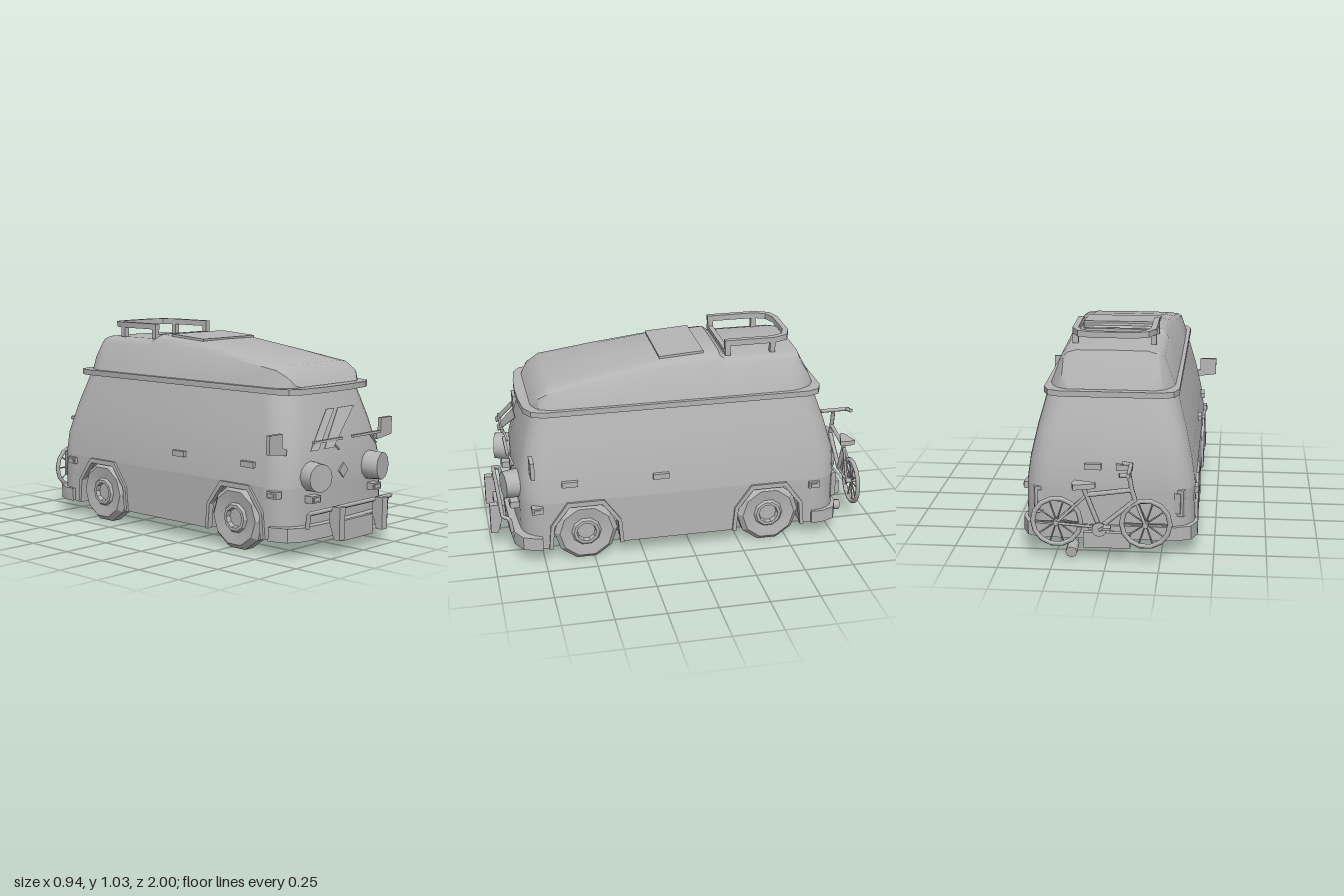
import * as THREE from 'three';
import { toCreasedNormals } from 'three/addons/utils/BufferGeometryUtils.js';

export function createModel() {
  const van = new THREE.Group();
  van.name = 'camperVan';
  const grey = new THREE.MeshStandardMaterial({ color: 0xb4b4b4, side: THREE.DoubleSide });
  grey.name = 'plainGrey';
  const V = (x, y, z) => new THREE.Vector3(x, y, z);
  const V2 = (p) => new THREE.Vector2(p[0], p[1]);

  const add = (name, geo, x = 0, y = 0, z = 0, parent = van) => {
    const m = new THREE.Mesh(geo, grey);
    m.name = name;
    m.position.set(x, y, z);
    parent.add(m);
    return m;
  };
  const box = (name, w, h, d, x, y, z, parent) => add(name, new THREE.BoxGeometry(w, h, d), x, y, z, parent);
  const rod = (name, a, b, r, parent, sides = 6) => {
    const d = b.clone().sub(a);
    const m = add(name, new THREE.CylinderGeometry(r, r, d.length(), sides), 0, 0, 0, parent);
    m.position.copy(a).add(b).multiplyScalar(0.5);
    m.quaternion.setFromUnitVectors(V(0, 1, 0), d.normalize());
    return m;
  };
  const extrude = (pts, depth) =>
    new THREE.ExtrudeGeometry(new THREE.Shape(pts.map(V2)), { depth, bevelEnabled: false });
  // Horizontal slab from an [x, z] outline
  const slab = (name, pts, y, h) =>
    add(name, toCreasedNormals(extrude(pts.map(([x, z]) => [x, -z]), h).rotateX(-Math.PI / 2), 0.6), 0, y, 0);
  // Slab across x from a [z, y] outline
  const across = (pts, width) => extrude(pts, width).rotateY(-Math.PI / 2).translate(width / 2, 0, 0);

  // Skin over a list of equal-length rings
  const loft = (rings, closed, crease) => {
    const n = rings[0].length, pos = rings.flat(2), idx = [];
    for (let i = 0; i < rings.length - 1; i++)
      for (let j = 0; j < (closed ? n : n - 1); j++) {
        const k = (j + 1) % n, a = i * n + j, b = i * n + k;
        idx.push(a, b, a + n, b, b + n, a + n);
      }
    const g = new THREE.BufferGeometry();
    g.setAttribute('position', new THREE.Float32BufferAttribute(pos, 3));
    g.setIndex(idx);
    g.computeVertexNormals();
    return toCreasedNormals(g, crease);
  };
  // Rounded plan outline with a gently bowed front
  const outline = (w, zf, zb, r = 0.12, steps = 5, bow = 0.03) => {
    const f = zf - bow, pts = [[0, f], [(w - r) / 2, f]];
    [[1, 1], [1, -1], [-1, -1], [-1, 1]].forEach(([sx, sz], q) => {
      for (let i = 0; i <= steps; i++) {
        const a = (q + i / steps) * Math.PI / 2;
        pts.push([sx * (w - r) + r * Math.sin(a), (sz > 0 ? f - r : zb + r) + r * Math.cos(a)]);
      }
    });
    pts.push([-(w - r) / 2, f]);
    return pts.map(([x, z]) => [x, z > 0 ? z + bow * (1 - (x / w) ** 2) : z]);
  };

  // Upper body
  add('upperBody', loft([[0.33, 0.405, 0.87, -0.77], [0.45, 0.388, 0.865, -0.765],
    [0.6, 0.355, 0.83, -0.725], [0.7, 0.328, 0.8, -0.692], [0.78, 0.308, 0.775, -0.665]]
    .map(([y, w, zf, zb]) => outline(w, zf, zb).map(([x, z]) => [x, y, z])), true, 0.9));

  // Lower body: nose, tail, and a middle with wheel arch notches
  const end = (pts, z0, s) => {
    const p = pts.filter(([, z]) => (z - z0) * s > -1e-4);
    return p.sort((a, b) => Math.atan2(a[0], (a[1] - z0) * s + 0.001) - Math.atan2(b[0], (b[1] - z0) * s + 0.001));
  };
  const plan = outline(0.405, 0.87, -0.77);
  slab('lowerNose', end(plan, 0.72, 1), 0.083, 0.247);
  slab('lowerTail', end(plan, -0.65, -1), 0.083, 0.247);
  const axles = [-0.4, 0.54];
  const arch = [[-0.175, 0.083], [-0.165, 0.21], [-0.085, 0.312], [0.085, 0.312], [0.165, 0.21], [0.175, 0.083]];
  const sideLine = [[-0.65, 0.083]];
  axles.forEach((a) => arch.forEach(([z, y]) => sideLine.push([a + z, y])));
  sideLine.push([0.72, 0.083], [0.72, 0.33], [-0.65, 0.33]);
  add('lowerSides', across(sideLine, 0.81));
  box('floor', 0.58, 0.24, 1.36, 0, 0.204, 0.035);

  // Bumpers and roof gutter
  const bumperPlan = outline(0.42, 0.91, -0.785, 0.1, 2);
  slab('frontBumper', [[-0.42, 0.76], ...end(bumperPlan, 0.77, 1), [0.42, 0.76]], 0.083, 0.067);
  slab('rearBumper', [[-0.42, -0.63], ...end(bumperPlan, -0.68, -1), [0.42, -0.63]], 0.083, 0.067);
  slab('gutter', outline(0.323, 0.83, -0.7, 0.08, 2), 0.757, 0.028);

  // Raised roof: stations of z, half width, height
  add('raisedRoof', loft([[0.775, 0.2, 0.787], [0.765, 0.235, 0.8], [0.74, 0.275, 0.845], [0.68, 0.3, 0.885],
    [0.4, 0.303, 0.932], [0.14, 0.303, 0.97], [-0.18, 0.303, 0.99], [-0.21, 0.303, 0.965], [-0.54, 0.3, 0.965],
    [-0.59, 0.285, 0.96], [-0.64, 0.255, 0.86], [-0.67, 0.2, 0.787]].map(([z, w, h]) => {
    const t = w - 0.33 * (h - 0.785), d = h - 0.785;
    const half = [[w, 0.785], [t + 0.005, h - 0.2 * d], [t - 0.015, h - 0.08 * d], [t * 0.75, h - 0.01 * d]];
    return [...half.map(([x, y]) => [-x, y, z]), [0, h, z], ...half.reverse().map(([x, y]) => [x, y, z])];
  }), false, 0.6));
  box('roofHatch', 0.38, 0.012, 0.225, 0, 0.981, 0.01).rotation.x = 0.065;

  // Roof rack: U rail, posts, low crossbar
  slab('rackRail', [[-0.203, -0.21], [-0.203, -0.47], [-0.17, -0.54], [-0.1, -0.565], [0.1, -0.565], [0.17, -0.54],
    [0.203, -0.47], [0.203, -0.21], [0.175, -0.21], [0.175, -0.46], [0.15, -0.515], [0.09, -0.538],
    [-0.09, -0.538], [-0.15, -0.515], [-0.175, -0.46], [-0.175, -0.21]], 1.012, 0.029);
  box('rackCrossbar', 0.4, 0.016, 0.025, 0, 0.977, -0.225);
  for (const s of [-1, 1]) for (const z of [-0.225, -0.457])
    box('rackPost', 0.028, 0.055, 0.026, s * 0.189, 0.99, z);

  // Wheels with rims and arch lips
  const tyre = new THREE.LatheGeometry([[0, -0.05], [0.13, -0.05], [0.16, -0.03], [0.16, 0.025], [0.135, 0.05],
    [0.075, 0.04], [0.065, 0.052], [0.05, 0.052], [0.045, 0.03], [0, 0.03]].map(V2), 10);
  const lip = [...arch.map(([z, y]) => [z * 1.08, y > 0.3 ? 0.33 : y]), ...arch.slice().reverse().map(([z, y]) => [z * 0.97, y - (y > 0.1 ? 0.006 : 0)])];
  for (const s of [-1, 1]) for (const z of axles) {
    const w = add('wheel', toCreasedNormals(tyre, 0.3), s * 0.363, 0.16, z);
    w.rotation.z = -s * Math.PI / 2;
    add('archLip', across(lip, 0.03), s * 0.402, 0, z);
  }

  // Paired fittings
  for (const s of [-1, 1]) {
    const lamp = add('headlight', toCreasedNormals(new THREE.CylinderGeometry(0.068, 0.073, 0.09, 12)
      .rotateX(Math.PI / 2), 0.6), s * 0.23, 0.377, 0.885);
    lamp.rotation.y = s * 0.2;
    box('turnSignal', 0.064, 0.034, 0.05, s * 0.235, 0.273, 0.875);
    box('turnSignalLens', 0.046, 0.02, 0.008, s * 0.235, 0.273, 0.901);
    const mirror = add('mirror', extrude([[0.38, 0.59], [0.47, 0.59], [0.47, 0.5], [0.35, 0.485], [0.345, 0.512],
      [0.38, 0.525]].map(([x, y]) => [s * x, y]), 0.02), 0, 0, 0.775);
    mirror.rotation.x = 0.03;
    for (const z of [0.615, 0.157]) box('doorHandle', 0.025, 0.028, 0.08, s * 0.397, 0.427, z);
    for (const z of [0.78, -0.638]) {
      box('sideMarker', 0.04, 0.034, 0.056, s * 0.4, 0.302, z);
      box('sideMarkerLens', 0.008, 0.018, 0.036, s * 0.421, 0.302, z);
    }
    const tail = box('tailLight', 0.07, 0.13, 0.03, s * 0.325, 0.265, -0.748);
    tail.rotation.y = s * 0.35;
    box('tailLightLens', 0.045, 0.1, 0.008, 0, 0, -0.018, tail);
    box('rearHinge', 0.08, 0.028, 0.03, s * 0.075, 0.44, -0.77);
    add('guardUpright', across([[1, 0.24], [1, 0.083], [0.965, 0.083], [0.94, 0.16], [0.94, 0.21], [0.96, 0.24]], 0.041), s * 0.166);
    // Wiper blade and arm
    const bx = s < 0 ? -0.158 : 0.138;
    box('wiperBlade', 0.215, 0.012, 0.015, bx, 0.544, 0.9);
    rod('wiperArm', V(bx + 0.03, 0.54, 0.9), V(bx + 0.115, 0.487, 0.875), 0.006);
  }

  // Front guard tube, plate, badge and tow hook
  const guard = new THREE.CurvePath();
  const gp = [V(-0.302, 0.145, 0.9), V(-0.302, 0.215, 0.91), V(-0.285, 0.226, 0.945), V(0.285, 0.226, 0.945),
    V(0.302, 0.215, 0.91), V(0.302, 0.145, 0.9)];
  for (let i = 0; i < 5; i++) guard.add(new THREE.LineCurve3(gp[i], gp[i + 1]));
  add('guardTube', new THREE.TubeGeometry(guard, 50, 0.011, 6));
  box('frontPlate', 0.24, 0.098, 0.02, 0, 0.114, 0.955);
  add('diamondBadge', extrude([[0, 0.036], [-0.034, 0], [0, -0.036], [0.034, 0]], 0.009), 0, 0.38, 0.866);
  add('towHook', new THREE.TorusGeometry(0.02, 0.007, 6, 10), 0, 0.082, 0.89);

  // Windscreen glints, leaning with the glass
  for (const [a, b, c, d] of [[-0.303, -0.243, -0.04, -0.1], [-0.2, -0.132, 0.112, -0.012]]) {
    const g = extrude([[a, 0.51], [b, 0.51], [c, 0.682], [d, 0.682]], 0.004);
    const p = g.attributes.position;
    for (let i = 0; i < p.count; i++) p.setZ(i, p.getZ(i) + 0.84 + (0.682 - p.getY(i)) * 0.42);
    g.computeVertexNormals();
    add('windscreenGlint', g);
  }

  // Exhaust and rear plate
  rod('exhaustPipe', V(0.17, 0.075, -0.5), V(0.17, 0.045, -0.79), 0.02, van, 8);
  rod('exhaustTip', V(0.17, 0.05, -0.77), V(0.17, 0.04, -0.86), 0.028, van, 8);
  box('carrierPlate', 0.22, 0.075, 0.025, 0, 0.112, -0.868);
  box('carrierArm', 0.05, 0.03, 0.12, 0, 0.11, -0.81);

  // Bicycle on the back
  const bike = new THREE.Group();
  bike.name = 'bicycle';
  bike.position.z = -0.903;
  van.add(bike);
  const hubs = { front: V(-0.185, 0.21, 0), rear: V(0.232, 0.21, 0) };
  for (const c of Object.values(hubs)) {
    add('bikeTyre', new THREE.TorusGeometry(0.113, 0.012, 6, 14), c.x, c.y, 0, bike);
    rod('bikeHub', V(c.x, c.y, -0.03), V(c.x, c.y, 0.03), 0.014, bike);
    for (let i = 0; i < 5; i++) {
      const d = V(Math.cos(i * Math.PI / 5), Math.sin(i * Math.PI / 5), 0).multiplyScalar(0.11);
      rod('spoke', c.clone().sub(d), c.clone().add(d), 0.004, bike, 4);
    }
  }
  const crank = V(0.03, 0.185, 0), seat = V(0.105, 0.38, 0), head = V(-0.12, 0.375, 0), neck = V(-0.135, 0.325, 0);
  for (const [a, b] of [[crank, seat], [crank, neck], [V(0.09, 0.345, 0), head], [head, V(-0.105, 0.46, 0)], [neck, head]])
    rod('bikeFrame', a, b, 0.012, bike);
  for (const z of [-0.024, 0.024]) {
    const o = V(0, 0, z);
    rod('forkBlade', neck, hubs.front.clone().add(o), 0.008, bike);
    rod('seatStay', V(0.09, 0.345, 0), hubs.rear.clone().add(o), 0.007, bike);
    rod('chainStay', crank, hubs.rear.clone().add(o), 0.007, bike);
    const s = Math.sign(z);
    rod('crankArm', V(0.03, 0.185, s * 0.035), V(0.03 + s * 0.04, 0.185 - s * 0.025, s * 0.045), 0.007, bike);
    box('pedal', 0.035, 0.012, 0.045, 0.03 + s * 0.04, 0.185 - s * 0.025, s * 0.065, bike);
    rod('handlebarGrip', V(-0.115, 0.47, s * 0.075), V(-0.07, 0.475, s * 0.09), 0.011, bike);
  }
  rod('handlebar', V(-0.11, 0.47, -0.09), V(-0.11, 0.47, 0.09), 0.011, bike);
  rod('chainring', V(0.03, 0.185, -0.03), V(0.03, 0.185, -0.02), 0.035, bike, 10);
  add('saddle', extrude([[0.05, 0.01], [0.05, -0.01], [0.15, -0.04], [0.16, 0], [0.15, 0.04]], 0.025)
    .rotateX(-Math.PI / 2), 0, 0.378, 0, bike);
  return van;
}
